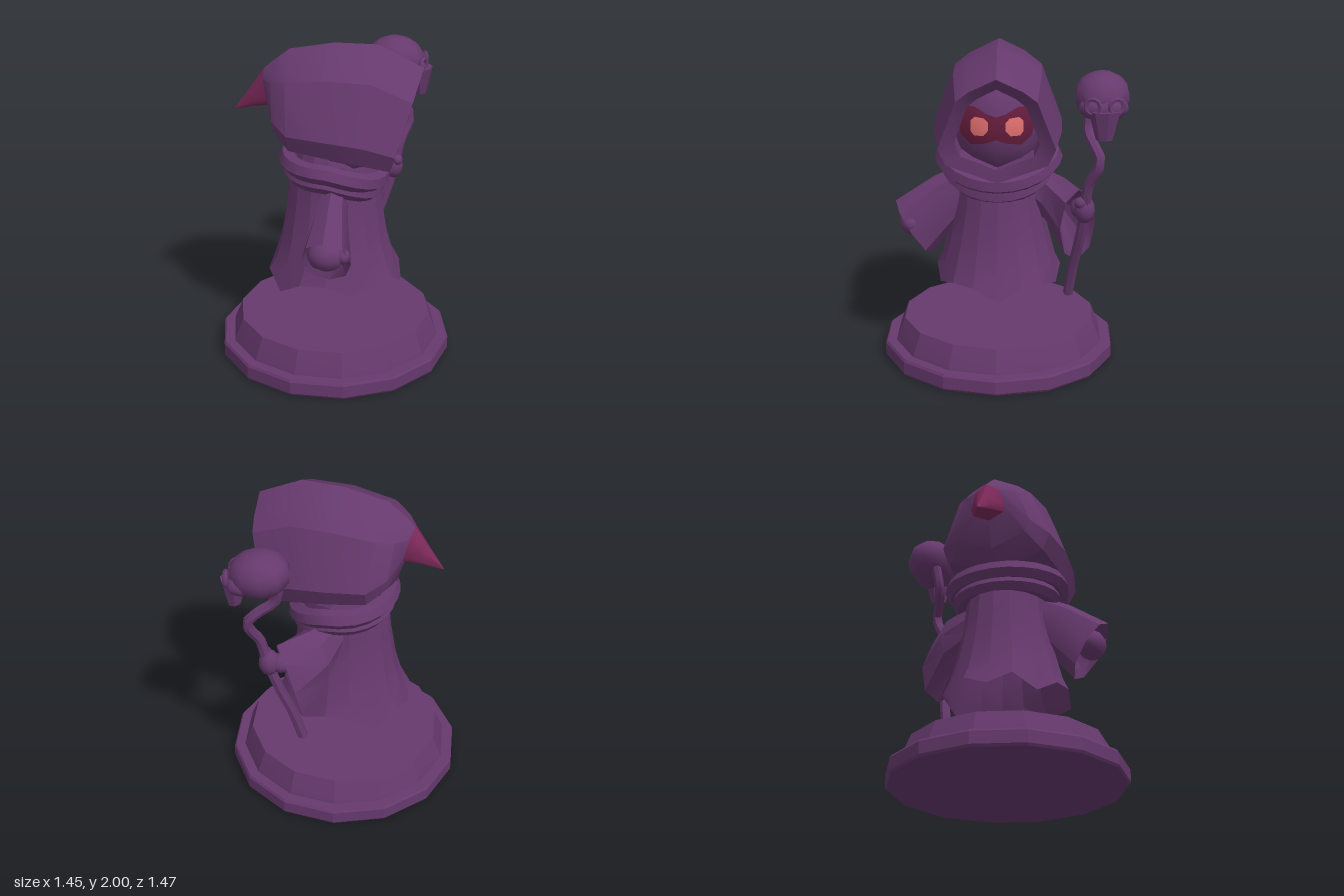
import * as THREE from 'three';
import { toCreasedNormals } from 'three/addons/utils/BufferGeometryUtils.js';

const CZ = 0.035; // depth of the figure's middle line
const paint = (name, color) =>
  Object.assign(new THREE.MeshStandardMaterial({ color, side: THREE.DoubleSide }), { name });

export function createModel() {
  const group = new THREE.Group();
  const cloth = paint('purple cloth', 0x66396d);
  const crimson = paint('crimson', 0x7a2858);
  const maroon = paint('dark maroon', 0x641c3c);
  const pink = paint('glowing pink', 0xe06e6e);

  const add = (name, geometry, material = cloth, crease = 0.55) => {
    const mesh = new THREE.Mesh(toCreasedNormals(geometry, crease), material);
    mesh.name = name;
    group.add(mesh);
    return mesh;
  };
  const blob = (name, center, size, rot = [0, 0, 0]) => {
    const mesh = add(name, new THREE.SphereGeometry(1, 10, 8), cloth, 0.9);
    mesh.position.set(...center);
    mesh.scale.set(...size);
    mesh.rotation.set(...rot);
    return mesh;
  };
  // Skin through closed rings of equal point count
  const loft = (rings) => {
    const n = rings[0].length;
    const index = [];
    for (let i = 0; i < rings.length - 1; i++) {
      for (let j = 0; j < n; j++) {
        const a = i * n + j, b = i * n + (j + 1) % n;
        index.push(a, a + n, b, b, a + n, b + n);
      }
    }
    const g = new THREE.BufferGeometry();
    g.setAttribute('position', new THREE.Float32BufferAttribute(rings.flat(2), 3));
    g.setIndex(index);
    return g;
  };
  const around = (n, f) => Array.from({ length: n }, (_, i) => f(i / n * Math.PI * 2, i));

  // Fourteen-sided stepped base
  const profile = [[0, 0], [0.715, 0], [0.725, 0.015], [0.725, 0.09], [0.715, 0.105], [0.655, 0.105],
    [0.65, 0.125], [0.6, 0.25], [0, 0.25]].map(([r, y]) => new THREE.Vector2(r, y));
  const base = add('base', new THREE.LatheGeometry(profile, 14), cloth, 0.3);
  base.rotation.y = Math.PI / 2;
  base.position.z = CZ;

  // Robe with a ragged hem
  const hem = [0.47, 0.55, 0.55, 0.51, 0.575, 0.56, 0.47, 0.56, 0.5];
  const robeRings = [[0, 0.42, 0.385], [0.65, 0.365, 0.35], [0.8, 0.325, 0.31], [1, 0.295, 0.265],
    [1.15, 0.28, 0.25], [1.3, 0.25, 0.25], [1.42, 0.2, 0.2]].map(([y, rx, rz]) =>
    around(16, (t, i) => [rx * Math.cos(t), y || hem[i > 8 ? 16 - i : i], CZ + rz * Math.sin(t)]));
  add('robe', loft(robeRings), cloth, 0.35);

  // Two drooping collar rolls
  for (const [name, rx, rz, y, drop, r] of [
    ['upperCollar', 0.28, 0.335, 1.29, 0.12, 0.058], ['lowerCollar', 0.255, 0.29, 1.21, 0.11, 0.055]]) {
    const path = new THREE.CatmullRomCurve3(around(16, (t) => new THREE.Vector3(
      rx * Math.cos(t), y - drop * Math.max(0, Math.cos(t)) ** 1.3, CZ + rz * Math.sin(t))), true);
    add(name, new THREE.TubeGeometry(path, 24, r, 6, true), cloth, 0.8);
  }

  // Hood sections: x at top and bottom, y at top and bottom, half width
  const half = [[0, 1], [0.45, 0.885], [0.68, 0.79], [1, 0.34], [0.87, 0.18], [0, 0]];
  const outline = [...half, ...half.slice(1, 5).reverse().map(([u, v]) => [-u, v])];
  const section = ([xt, xb, yt, yb, w]) => outline.map(([u, v]) =>
    [xb + (xt - xb) * v, yb + (yt - yb) * v, CZ + u * w]);
  const tailRoot = [-0.43, -0.38, 1.82, 1.59, 0.11];
  add('hood', loft([
    [0.15, 0.12, 1.8, 1.28, 0.25],
    [0.47, 0.34, 1.8, 1.28, 0.25],
    [0.53, 0.34, 1.87, 1.2, 0.345],
    [0.26, 0.2, 2.0, 1.22, 0.38],
    [0, 0, 2.0, 1.26, 0.385],
    [-0.27, -0.22, 1.95, 1.3, 0.345],
    [-0.36, -0.33, 1.88, 1.42, 0.25],
    tailRoot].map(section)), cloth, 0.5);
  add('hoodTail', loft([
    tailRoot, [-0.52, -0.49, 1.69, 1.58, 0.055], [-0.612, -0.61, 1.562, 1.556, 0.003]].map(section)), crimson, 0.7);

  // Face in the hood, with mask and eyes laid over its surface
  const face = { x: 0.08, y: 1.53, rx: 0.29, ry: 0.34, rz: 0.3 };
  blob('face', [face.x, face.y, CZ], [face.rx, face.ry, face.rz]);
  const patch = (points, cy, cz, lift) => loft([1, 0.75, 0.5, 0.25, 0.001].map((k) => points.map(([dz, dy]) => {
    const y = cy + dy * k, z = cz + dz * k;
    const q = 1 - ((y - face.y) / face.ry) ** 2 - (z / face.rz) ** 2;
    return [face.x + lift + face.rx * Math.sqrt(Math.max(q, 0)), y, CZ + z];
  })));
  const maskHalf = [[0, 0.06], [0.06, 0.08], [0.13, 0.115], [0.2, 0.11], [0.225, 0.03], [0.21, -0.06],
    [0.15, -0.11], [0.07, -0.1], [0, -0.075]];
  const mask = [...maskHalf, ...maskHalf.slice(1, 8).reverse().map(([z, y]) => [-z, y])];
  add('mask', patch(mask, 1.55, 0.005, 0.012), maroon, 1);
  for (const s of [1, -1]) {
    const eye = [[-0.05, 0.025], [-0.025, 0.05], [0.03, 0.055], [0.055, 0.03], [0.055, -0.03],
      [0.035, -0.055], [-0.02, -0.055], [-0.05, -0.02]].map(([z, y]) => [s * z, y]);
    add(s > 0 ? 'leftSideEye' : 'rightSideEye', patch(eye, 1.555, s * 0.1, 0.02), pink, 1);
  }

  // Wide sleeves: rings given by centre, up vector and side vector
  const ring = ([c, up, side]) => around(8, (t) => c.map((v, k) => v + up[k] * Math.cos(t) + side[k] * Math.sin(t)));
  add('loweredSleeve', loft([
    [[0.03, 1.1, 0.2], [0, 0.14, 0.03], [0.08, 0, 0]],
    [[0.03, 1.0, 0.36], [0, 0.15, 0.07], [0.1, 0, 0]],
    [[0.03, 0.82, 0.56], [0, 0.17, 0.11], [0.15, 0, 0]],
    [[0.03, 0.85, 0.53], [0, 0.13, 0.08], [0.12, 0, 0]],
    [[0.03, 1.0, 0.36], [0, 0.02, 0.01], [0.02, 0, 0]]].map(ring)), cloth, 0.6);
  add('raisedSleeve', loft([
    [[0.01, 1.1, -0.15], [0, 0.13, 0], [-0.09, 0, -0.04]],
    [[0.06, 1.02, -0.31], [0.03, 0.17, 0], [-0.1, 0, -0.08]],
    [[0.19, 0.89, -0.45], [0.07, 0.25, 0], [-0.08, 0, -0.11]],
    [[0.17, 0.92, -0.43], [0.06, 0.2, 0], [-0.06, 0, -0.09]],
    [[0.06, 1.02, -0.31], [0.01, 0.02, 0], [-0.01, 0, -0.02]]].map(ring)), cloth, 0.6);

  // Hands
  blob('loweredHand', [0.03, 0.86, 0.56], [0.115, 0.09, 0.09]);
  blob('loweredThumb', [0.135, 0.87, 0.57], [0.04, 0.045, 0.05]);
  blob('raisedHand', [0.3, 1.03, -0.485], [0.065, 0.085, 0.065]);
  blob('raisedThumb', [0.33, 1.08, -0.46], [0.035, 0.035, 0.04]);
  blob('raisedWrist', [0.24, 1.02, -0.46], [0.08, 0.06, 0.06]);

  // Crooked staff
  const bends = [[0.13, 0.43, -0.4], [0.18, 0.62, -0.425], [0.25, 0.82, -0.46], [0.31, 1.03, -0.49], [0.345, 1.2, -0.505],
    [0.38, 1.29, -0.55], [0.395, 1.36, -0.57], [0.33, 1.43, -0.535], [0.24, 1.5, -0.5], [0.21, 1.66, -0.52]];
  const staffPath = new THREE.CatmullRomCurve3(bends.map((p) => new THREE.Vector3(...p)), false, 'centripetal');
  add('staff', new THREE.TubeGeometry(staffPath, 26, 0.032, 7), cloth, 0.8);
  blob('staffFoot', bends[0], [0.031, 0.012, 0.031], [0, 0, -0.25]);

  // Skull on the staff: cranium, cheeks, snout and eye sockets
  blob('cranium', [0.3, 1.73, -0.575], [0.185, 0.14, 0.165], [0, 0, -0.15]);
  blob('cheeks', [0.39, 1.68, -0.58], [0.11, 0.08, 0.15]);
  const snout = add('snout', new THREE.CylinderGeometry(0.095, 0.05, 0.17, 7), cloth, 0.7);
  snout.position.set(0.455, 1.59, -0.585);
  snout.scale.x = 0.8;
  for (const [z, turn] of [[-0.515, 0.3], [-0.65, -0.3]]) {
    const socket = add('eyeSocket', new THREE.TorusGeometry(0.043, 0.014, 5, 9), cloth, 1);
    socket.position.set(0.475, 1.705, z);
    socket.rotation.y = Math.PI / 2 - turn;
  }
  return group;
}
